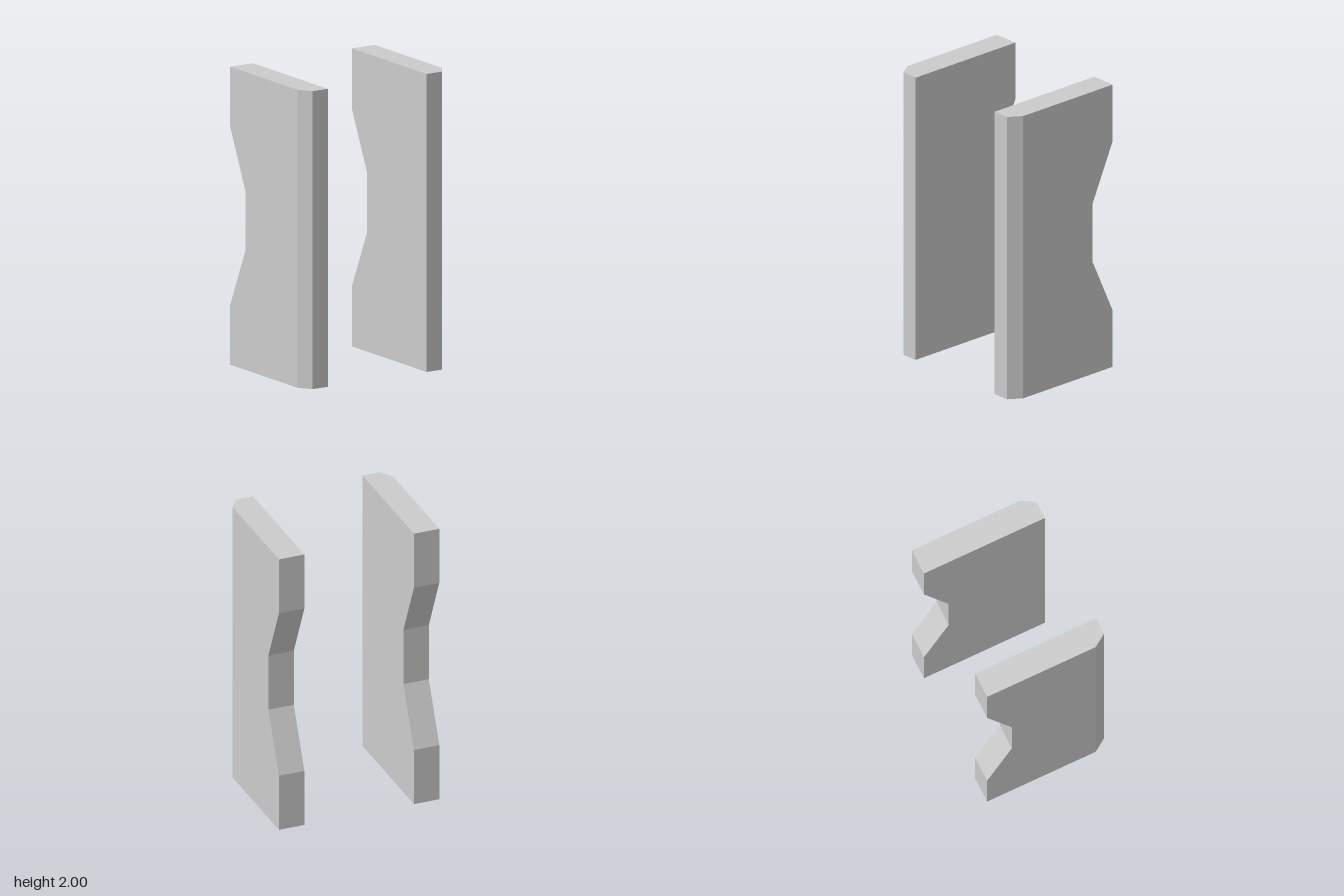
import * as THREE from 'three';

const WIDTH = 0.18, FRONT = 0.44, BACK = -0.44, NOTCH = -0.26, CHAMFER = 0.09;

// Side outline as [z, y], with the waist cut into the back edge
const OUTLINE = [
  [FRONT, 0], [BACK, 0], [BACK, 0.4], [NOTCH, 0.8],
  [NOTCH, 1.2], [BACK, 1.6], [BACK, 2], [FRONT, 2],
];

// Upright panel from x = 0 to WIDTH, its outer front edge bevelled
function panelGeometry(side) {
  const shape = new THREE.Shape(OUTLINE.map(([z, y]) => new THREE.Vector2(-z, y)));
  const geometry = new THREE.ExtrudeGeometry(shape, { depth: WIDTH, steps: 3, bevelEnabled: false });
  geometry.rotateY(Math.PI / 2);

  // Pull the front edge of the outermost layer back to form the bevel
  const outerX = side > 0 ? WIDTH : 0;
  const p = geometry.attributes.position;
  for (let i = 0; i < p.count; i++) {
    if (Math.abs(p.getX(i) - outerX) < 1e-4 && p.getZ(i) > FRONT - 1e-4) p.setZ(i, FRONT - CHAMFER);
  }
  geometry.computeVertexNormals();
  return geometry;
}

export function createModel() {
  const group = new THREE.Group();
  group.name = 'panelPair';
  const material = new THREE.MeshStandardMaterial({ color: 0xcccccc, flatShading: true });

  const panels = [
    { name: 'leftPanel', side: 1, x: 0.385, z: 0.002 },
    { name: 'rightPanel', side: -1, x: -0.567, z: -0.004 },
  ];
  for (const { name, side, x, z } of panels) {
    const mesh = new THREE.Mesh(panelGeometry(side), material);
    mesh.name = name;
    mesh.position.set(x, 0, z);
    group.add(mesh);
  }
  return group;
}
